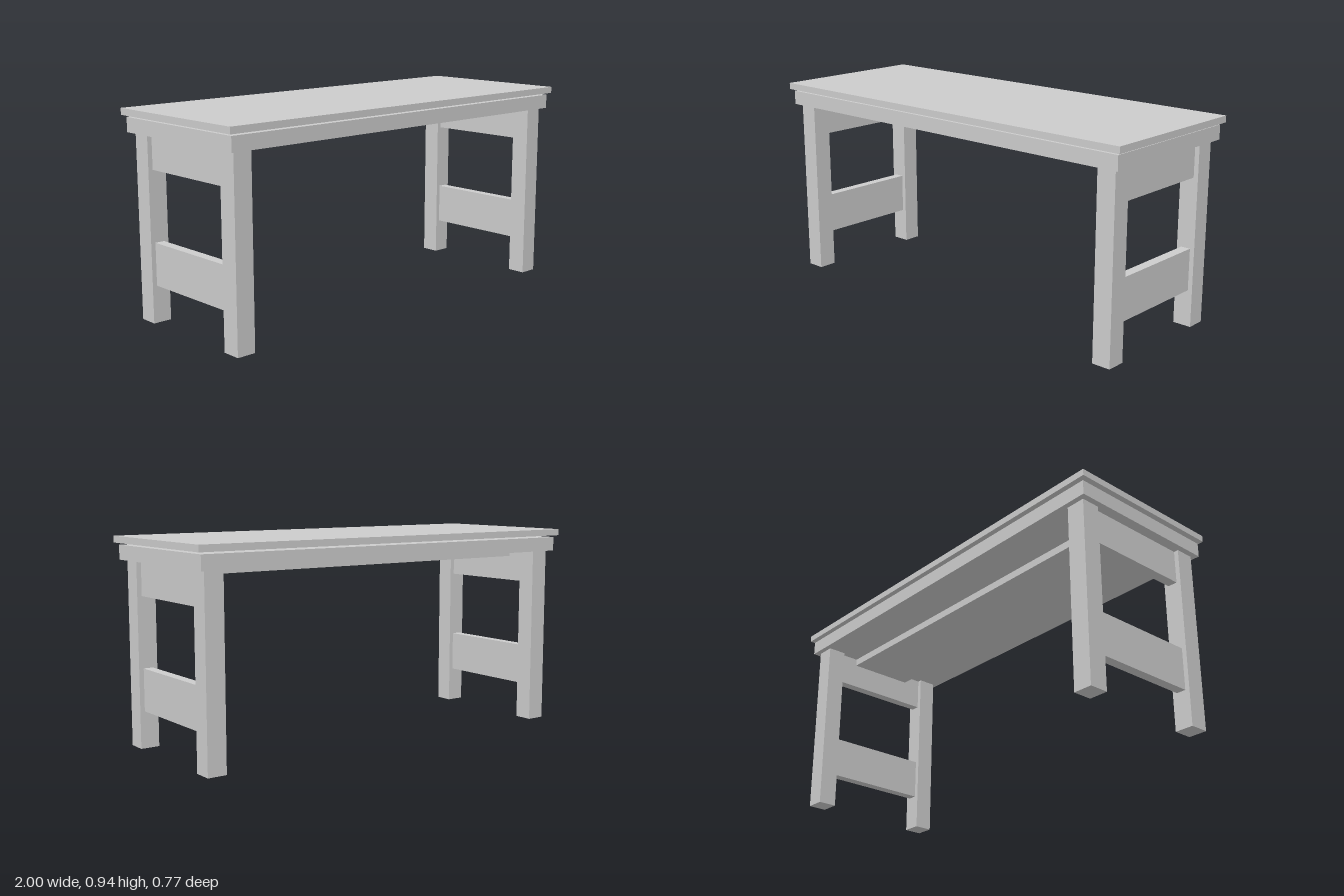
import * as THREE from 'three';

const material = new THREE.MeshStandardMaterial({ color: 0xcccccc, flatShading: true });

// Box given by its centre in x and z, its width, depth, and bottom and top heights
function block(name, x, z, width, depth, bottom, top) {
  const mesh = new THREE.Mesh(new THREE.BoxGeometry(width, top - bottom, depth), material);
  mesh.name = name;
  mesh.position.set(x, (bottom + top) / 2, z);
  return mesh;
}

export function createModel() {
  const table = new THREE.Group();
  table.name = 'table';

  // Top board floats just above the supporting slab
  table.add(block('tableTop', 0, 0, 2, 0.766, 0.912, 0.942));
  table.add(block('supportSlab', 0, 0, 1.965, 0.735, 0.837, 0.903));

  // Wide plank under the slab, running between the end rails
  table.add(block('underPlank', 0, 0, 1.778, 0.324, 0.802, 0.837));

  // End frames: two legs joined by an upper and a lower rail
  for (const [side, s] of [['left', 1], ['right', -1]]) {
    const x = s * 0.912;
    const end = new THREE.Group();
    end.name = side + 'EndFrame';
    end.add(block('frontLeg', x, 0.299, 0.088, 0.088, 0, 0.837));
    end.add(block('backLeg', x, -0.299, 0.088, 0.088, 0, 0.837));
    end.add(block('upperRail', x, 0, 0.045, 0.51, 0.682, 0.837));
    end.add(block('lowerRail', x, 0, 0.045, 0.51, 0.168, 0.361));
    table.add(end);
  }
  return table;
}
